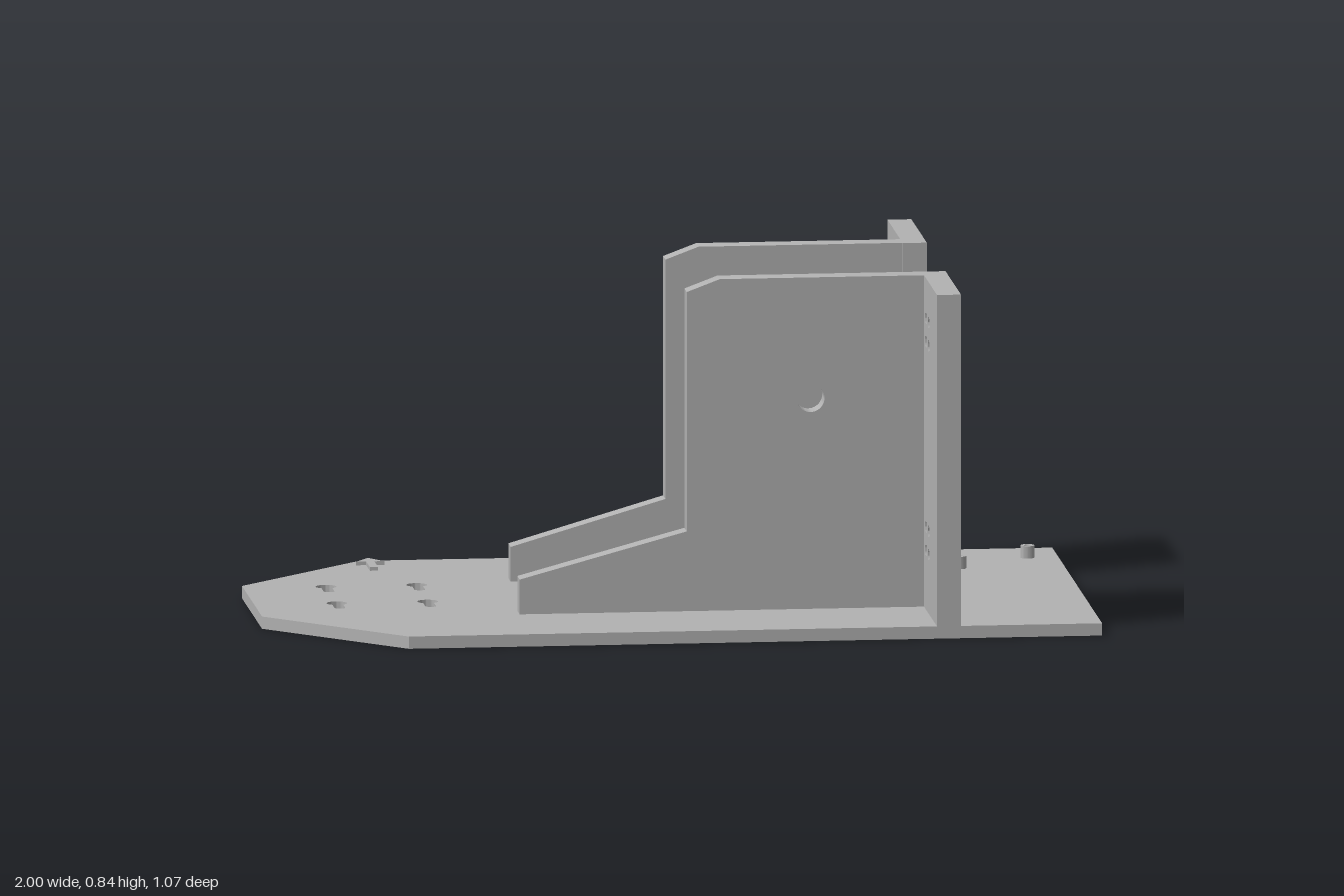
import * as THREE from 'three';
import { toCreasedNormals } from 'three/addons/utils/BufferGeometryUtils.js';

const grey = new THREE.MeshStandardMaterial({ color: 0xb2b2b2 });
grey.name = 'plainGrey';

const BASE = 0.03;   // base plate thickness
const TOP = 0.84;    // bracket height

const polygon = (pts) => new THREE.Shape(pts.map(([x, y]) => new THREE.Vector2(x, y)));

const circle = (x, y, r) => new THREE.Path().absarc(x, y, r, 0, Math.PI * 2, true);

function extrude(shape, depth) {
  const geo = new THREE.ExtrudeGeometry(shape, { depth, bevelEnabled: false, curveSegments: 20 });
  return toCreasedNormals(geo, 0.6);
}

function addMesh(parent, name, geo) {
  const mesh = new THREE.Mesh(geo, grey);
  mesh.name = name;
  parent.add(mesh);
  return mesh;
}

// Round head with a narrower slot running towards +z (shape y is -z)
function keyhole(x, z) {
  const r = 0.025, w = 0.013, tail = -z - 0.065;
  const a = Math.asin(w / r);
  const path = new THREE.Path();
  path.absarc(x, -z, r, -Math.PI / 2 + a, Math.PI * 1.5 - a, false);
  path.absarc(x, tail, w, Math.PI, Math.PI * 2, false);
  path.closePath();
  return path;
}

// Side web plus outward flange; side is +1 at the front, -1 at the back
function makeBracket(side, toeX) {
  const bracket = new THREE.Group();
  bracket.name = side > 0 ? 'frontBracket' : 'backBracket';

  // Web with sloping toe, clipped corner and one large hole
  const web = polygon([
    [toeX, BASE], [0.6, BASE], [0.6, TOP], [0.105, TOP],
    [0.025, 0.81], [0.025, 0.225], [toeX, 0.115],
  ]);
  web.holes.push(circle(0.325, 0.545, 0.034));
  addMesh(bracket, 'web', extrude(web, 0.052)).position.z = side > 0 ? 0.204 : -0.256;

  // Flange with two groups of four screw holes (shape x is -z)
  const [a, b] = side > 0 ? [-0.537, -0.204] : [0.2, 0.533];
  const flange = polygon([[a, BASE], [b, BASE], [b, TOP], [a, TOP]]);
  for (const z of [0.3, 0.36]) {
    for (const y of [0.175, 0.232, 0.685, 0.742]) {
      flange.holes.push(circle(-side * z, y, 0.014));
    }
  }
  const geo = extrude(flange, 0.058).rotateY(Math.PI / 2);
  addMesh(bracket, 'flange', geo).position.x = 0.6;
  return bracket;
}

export function createModel() {
  const model = new THREE.Group();
  model.name = 'mountingBracket';

  // Base plate with tapered end and four keyholes
  const base = polygon([
    [-1, -0.217], [-0.68, -0.537], [1, -0.537],
    [1, 0.537], [-0.68, 0.537], [-1, 0.217],
  ]);
  for (const x of [-0.8, -0.58]) {
    for (const z of [-0.185, 0.05]) base.holes.push(keyhole(x, z));
  }
  addMesh(model, 'basePlate', extrude(base, BASE).rotateX(-Math.PI / 2));

  // Upright brackets; the front toe is slightly longer
  model.add(makeBracket(1, -0.38), makeBracket(-1, -0.35));

  // Hollow locating pegs
  for (const [x, z] of [[0.745, -0.275], [0.925, -0.405]]) {
    const peg = new THREE.Shape().absarc(0, 0, 0.017, 0, Math.PI * 2, false);
    peg.holes.push(circle(0, 0, 0.008));
    addMesh(model, 'peg', extrude(peg, 0.03).rotateX(-Math.PI / 2)).position.set(x, BASE, z);
  }

  // Raised direction arrow pointing to the back edge
  const arrow = polygon([
    [-0.01, -0.065], [0.01, -0.065], [0.01, 0.015], [0.034, 0.015],
    [0, 0.065], [-0.034, 0.015], [-0.01, 0.015],
  ]);
  addMesh(model, 'arrow', extrude(arrow, 0.009).rotateX(-Math.PI / 2)).position.set(-0.66, BASE, -0.46);

  return model;
}
